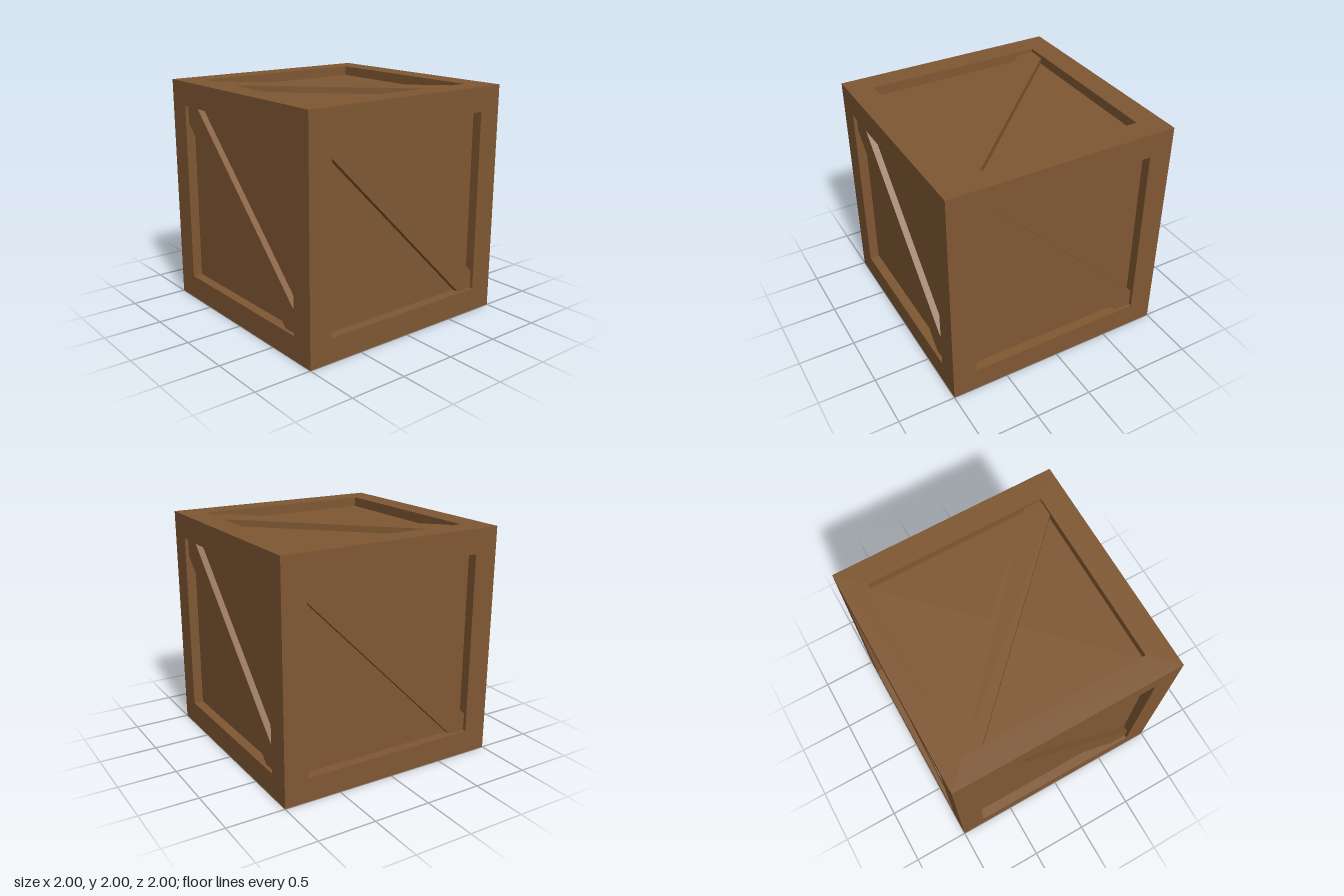
import * as THREE from 'three';

const OUT = 1;        // half size of the crate
const INN = 0.79;     // half size of each recessed opening
const DEPTH = 0.085;  // how far the panels sit below the frame
const BRACE_SET = 0.03;  // how far the braces sit below the frame
const CUT = 0.155;    // brace half width measured along the opening edge

const polygon = (points) => new THREE.Shape(points.map(([x, y]) => new THREE.Vector2(x, y)));
const square = (r) => [[-r, -r], [r, -r], [r, r], [-r, r]];

// Square frame whose outer sides are mitred so six of them meet along the crate's edges
function frameGeometry() {
  const shape = polygon(square(OUT));
  shape.holes.push(polygon(square(INN)));
  const geo = new THREE.ExtrudeGeometry(shape, { depth: DEPTH, bevelEnabled: false });
  geo.translate(0, 0, OUT - DEPTH);
  const p = geo.attributes.position;
  const mitre = (v) => (Math.abs(v) > INN + 0.01 ? Math.sign(v) * (OUT - DEPTH) : v);
  for (let i = 0; i < p.count; i++) {
    if (p.getZ(i) < OUT - DEPTH / 2) p.setXY(i, mitre(p.getX(i)), mitre(p.getY(i)));
  }
  geo.computeVertexNormals();
  return geo;
}

// Diagonal plank from the upper left to the lower right corner of the opening
function braceGeometry() {
  const e = INN - CUT;
  const shape = polygon([[-INN, INN], [-INN, e], [e, -INN], [INN, -INN], [INN, -e], [-e, INN]]);
  const geo = new THREE.ExtrudeGeometry(shape, { depth: DEPTH - BRACE_SET, bevelEnabled: false });
  return geo.translate(0, 0, OUT - DEPTH);
}

export function createModel() {
  const wood = new THREE.MeshStandardMaterial({ color: 0x805833 });
  wood.name = 'brownWood';

  const crate = new THREE.Group();
  crate.name = 'crate';
  const body = new THREE.Group();
  body.name = 'body';
  body.position.y = OUT;
  crate.add(body);

  const add = (parent, name, geo) => {
    const mesh = new THREE.Mesh(geo, wood);
    mesh.name = name;
    parent.add(mesh);
  };

  // Each side carries a panel, a frame and a brace
  const panel = new THREE.PlaneGeometry(2 * INN, 2 * INN).translate(0, 0, OUT - DEPTH);
  const frame = frameGeometry();
  const brace = braceGeometry();
  const q = Math.PI / 2;
  const sides = [
    ['front', 0, 0], ['left', 0, q], ['back', 0, 2 * q], ['right', 0, -q],
    ['top', -q, 0], ['bottom', q, 0],
  ];
  for (const [name, rx, ry] of sides) {
    const side = new THREE.Group();
    side.name = name + 'Side';
    side.rotation.set(rx, ry, 0);
    add(side, name + 'Panel', panel);
    add(side, name + 'Frame', frame);
    add(side, name + 'Brace', brace);
    body.add(side);
  }
  return crate;
}
